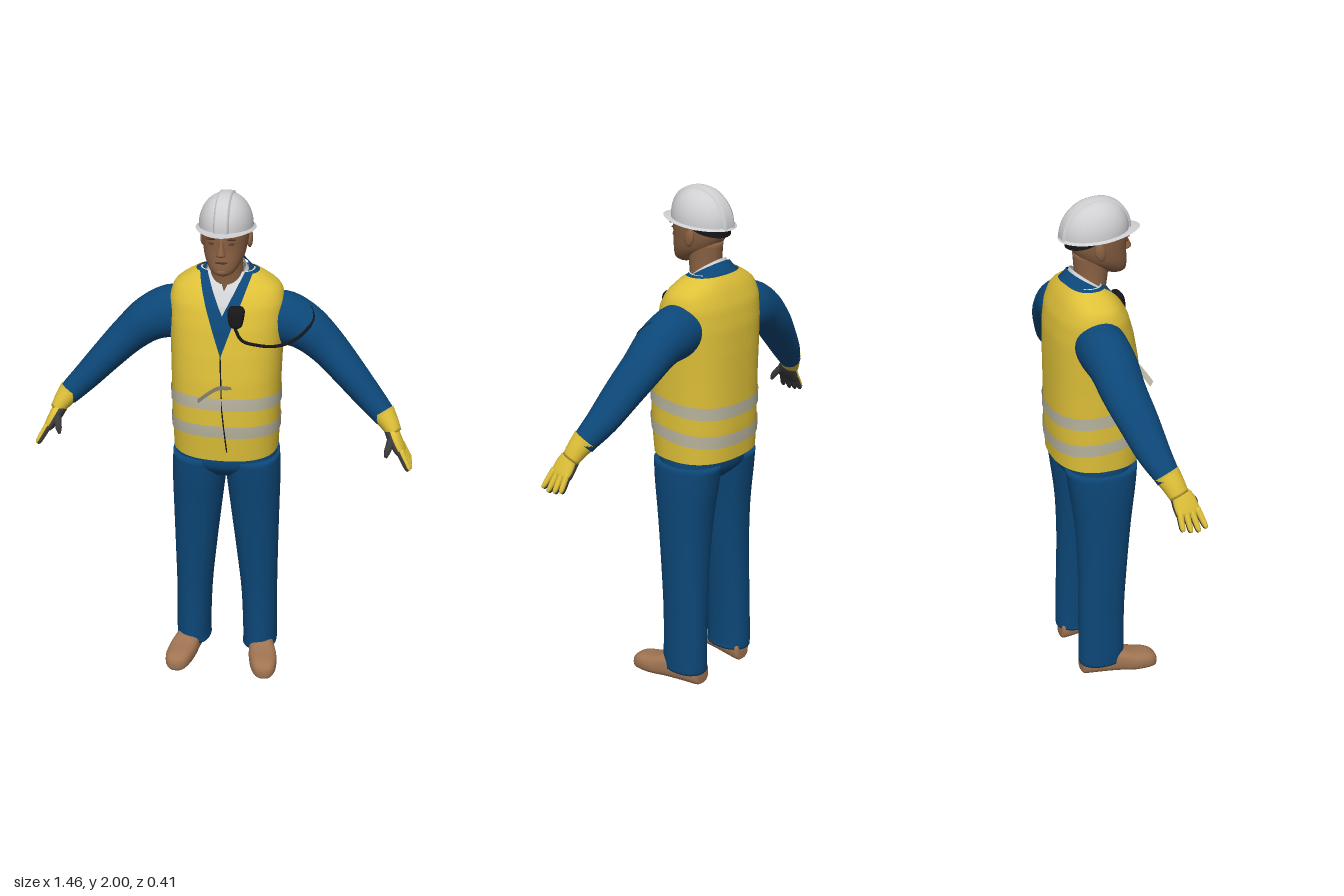
import * as THREE from 'three';

const mat = (name, color, side = THREE.FrontSide) => {
  const m = new THREE.MeshStandardMaterial({ color, side });
  m.name = name;
  return m;
};
const V = (x, y, z) => new THREE.Vector3(x, y, z);
const spow = (v, n) => Math.sign(v) * Math.pow(Math.abs(v), 2 / n);

// Smooth surface through a rule fn(u, v); u runs round, v runs along
function sheet(fn, nu, nv, closed = false, caps = null) {
  const pos = [], idx = [], cols = closed ? nu : nu + 1;
  for (let j = 0; j <= nv; j++)
    for (let i = 0; i < cols; i++) pos.push(...fn(i / nu, j / nv).toArray());
  for (let j = 0; j < nv; j++)
    for (let i = 0; i < nu; i++) {
      const a = j * cols + i, b = j * cols + (i + 1) % cols;
      idx.push(a, b, b + cols, a, b + cols, a + cols);
    }
  if (caps) {
    const s = pos.length / 3, last = nv * cols;
    pos.push(...caps[0].toArray(), ...caps[1].toArray());
    for (let i = 0; i < nu; i++) {
      const k = (i + 1) % cols;
      idx.push(s, k, i, s + 1, last + i, last + k);
    }
  }
  const g = new THREE.BufferGeometry();
  g.setAttribute('position', new THREE.Float32BufferAttribute(pos, 3));
  g.setIndex(idx);
  g.computeVertexNormals();
  return g;
}

// Solid through sections [x, y, z, halfSide, halfDepth]; axis fixes the section plane
function loft(rows, side, { axis = null, n = 2, seg = 24, sub = 4 } = {}) {
  const c = new THREE.CatmullRomCurve3(rows.map(r => V(r[0], r[1], r[2])), false, 'catmullrom');
  const s = new THREE.CatmullRomCurve3(rows.map(r => V(r[3], r[4], 0)), false, 'catmullrom');
  return sheet((u, v) => {
    const t = axis ? axis.clone() : c.getPoint(Math.min(1, v + 0.02)).sub(c.getPoint(Math.max(0, v - 0.02))).normalize();
    const a = side.clone().addScaledVector(t, -side.dot(t)).normalize();
    const b = t.clone().cross(a), r = s.getPoint(v), q = u * Math.PI * 2;
    return c.getPoint(v).addScaledVector(a, r.x * spow(Math.cos(q), n)).addScaledVector(b, r.y * spow(Math.sin(q), n));
  }, seg, (rows.length - 1) * sub, true, [c.getPoint(0), c.getPoint(1)]);
}

// Torso outline: [height, half width, front z, back z]
const TORSO = [
  [0.975, 0.203, 0.148, -0.195], [1.1, 0.207, 0.16, -0.2], [1.2, 0.208, 0.158, -0.2], [1.3, 0.21, 0.15, -0.2],
  [1.4, 0.213, 0.135, -0.2], [1.5, 0.217, 0.115, -0.197], [1.58, 0.218, 0.09, -0.185],
  [1.63, 0.203, 0.06, -0.165], [1.66, 0.165, 0.035, -0.15], [1.69, 0.11, 0.01, -0.125]];
function torsoPoint(q, y, off, tilt = 0) {
  let k = 0;
  while (k < TORSO.length - 2 && y > TORSO[k + 1][0]) k++;
  const A = TORSO[k], B = TORSO[k + 1], f = (y - A[0]) / (B[0] - A[0]);
  const [w, zf, zb] = [1, 2, 3].map(i => A[i] + (B[i] - A[i]) * f);
  const z = (zf + zb) / 2 + ((zf - zb) / 2 + off) * spow(Math.cos(q), 2.4);
  return V((w + off) * spow(Math.sin(q), 2.4), y + tilt * z, z);
}
// Garment layer with a V opening from (0, vy) to half width vw at the collar
function garment(y0, y1, off, vy, vw, tilt = 0, rows = 44) {
  return sheet((u, v) => {
    const y = y0 + (y1 - y0) * v;
    const w = Math.max(0, (y - vy) / (1.69 - vy)) * vw;
    const full = torsoPoint(Math.PI / 2, y, off).x;
    const o = Math.asin(Math.min(1, Math.pow(w / full, 1.2)));
    return torsoPoint(o + u * (2 * Math.PI - 2 * o), y, off, tilt);
  }, 64, rows);
}

export function createModel() {
  const root = new THREE.Group();
  root.name = 'worker';
  const D = THREE.DoubleSide;
  const yellow = mat('safety yellow', 0xdec038, D), blue = mat('work blue', 0x0c4778, D);
  const skin = mat('skin', 0x8a6143), dark = mat('dark skin', 0x5a3a28);
  const boot = mat('boot brown', 0x9f7452), shell = mat('helmet grey', 0xcfcfd2, D);
  const tape = mat('reflective tape', 0xb9b49e, D), grip = mat('glove grey', 0x3b3a3c);
  const black = mat('black', 0x17171a, D), white = mat('shirt white', 0xd2d3d6, D);
  const add = (name, geo, m, parent = root) => {
    const o = new THREE.Mesh(geo, m);
    o.name = name;
    parent.add(o);
    return o;
  };
  const X = V(1, 0, 0), Y = V(0, 1, 0), Z = V(0, 0, 1);
  const ball = (name, m, x, y, z, a, b, c) => {
    const o = add(name, new THREE.SphereGeometry(1, 16, 12), m);
    o.position.set(x, y, z);
    o.scale.set(a, b, c);
    return o;
  };
  const tube = (name, pts, r, m) => add(name, new THREE.TubeGeometry(
    new THREE.CatmullRomCurve3(pts.map(p => V(...p))), 40, r, 6), m);

  // Clothing layers on the torso
  add('vest', garment(0.975, 1.685, 0, 1.4, 0.1), yellow);
  add('jacket', garment(1.3, 1.69, -0.007, 1.55, 0.07), blue);
  add('shirt', garment(1.45, 1.69, -0.014, 1.63, 0.03), white);
  for (const y of [1.06, 1.175]) add('reflectiveBand', garment(y, y + 0.05, 0.004, 9, 0, 0.12, 3), tape);
  const collar = (name, m, r0, r1, gap, h) => add(name, sheet((u, v) => {
    const q = gap + u * (2 * Math.PI - 2 * gap), r = r0 + (r1 - r0) * v;
    return V(r * Math.sin(q), 1.655 + h * v - 0.045 * Math.cos(q), -0.04 + r * 0.95 * Math.cos(q));
  }, 40, 4), m);
  collar('jacketCollar', blue, 0.112, 0.08, 0.55, 0.035);
  collar('shirtCollar', white, 0.088, 0.068, 0.35, 0.042);

  // Front closure and loose strap
  tube('vestSeam', [[0, 1.4, 0.136], [0.005, 1.3, 0.151], [0.01, 1.2, 0.161], [0.02, 1.1, 0.162], [0.028, 1.02, 0.155]], 0.0025, black);
  const strap = new THREE.CatmullRomCurve3([V(0.045, 1.285, 0.152), V(0, 1.29, 0.165), V(-0.04, 1.27, 0.18), V(-0.075, 1.245, 0.195)]);
  add('strap', sheet((u, v) => strap.getPoint(v).add(V(0, (u - 0.5) * 0.022, (u - 0.5) * 0.012)), 1, 12), tape);

  // Radio microphone, cord and shoulder clip
  add('microphone', loft([[0.055, 1.518, 0.112, 0.014, 0.014], [0.055, 1.53, 0.112, 0.025, 0.02],
    [0.055, 1.575, 0.104, 0.032, 0.02], [0.055, 1.592, 0.098, 0.024, 0.014]], X, { axis: Y, n: 3 }), black);
  tube('cord', [[0.05, 1.52, 0.115], [0.08, 1.475, 0.13], [0.14, 1.457, 0.125], [0.2, 1.447, 0.1], [0.25, 1.45, 0.062],
    [0.3, 1.485, 0.045], [0.33, 1.525, 0.0], [0.315, 1.555, -0.04]], 0.006, black);
  const clip = add('shoulderClip', new THREE.BoxGeometry(0.065, 0.014, 0.022), black);
  clip.position.set(0.295, 1.558, -0.06);
  clip.rotation.z = -0.5;

  // Hips
  add('hips', loft([[0, 0.87, -0.02, 0.1, 0.09], [0, 0.92, -0.023, 0.19, 0.137], [0, 0.98, -0.024, 0.198, 0.146],
    [0, 1.05, -0.022, 0.195, 0.15]], X, { axis: Y, n: 2.3, seg: 40 }), blue);

  for (const s of [1, -1]) {
    const side = new THREE.Group();
    side.name = s > 0 ? 'leftLimbs' : 'rightLimbs';
    root.add(side);
    const limb = (name, rows, dir, m, opt) => add(name, loft(rows.map(r => [r[0] * s, ...r.slice(1)]), dir, opt), m, side);

    // Trouser leg and boot
    limb('trouserLeg', [[0.138, 0.055, -0.037, 0.07, 0.094], [0.139, 0.1, -0.037, 0.069, 0.095], [0.134, 0.3, -0.035, 0.072, 0.094],
      [0.125, 0.5, -0.027, 0.083, 0.099], [0.115, 0.7, -0.022, 0.096, 0.112], [0.107, 0.86, -0.022, 0.106, 0.132],
      [0.103, 0.95, -0.024, 0.105, 0.143]], X, blue, { axis: Y, n: 2.2, seg: 32 });
    limb('boot', [[0.128, 0.035, -0.122, 0.028, 0.03], [0.13, 0.045, -0.11, 0.042, 0.045], [0.14, 0.053, -0.05, 0.048, 0.053],
      [0.153, 0.053, 0.02, 0.052, 0.053], [0.168, 0.042, 0.09, 0.058, 0.042], [0.177, 0.037, 0.15, 0.05, 0.037],
      [0.18, 0.03, 0.178, 0.034, 0.028], [0.181, 0.026, 0.188, 0.014, 0.014]], X, boot, { axis: Z, n: 2.7 });

    // Sleeve
    limb('sleeve', [[0.15, 1.505, -0.06, 0.09, 0.095], [0.22, 1.497, -0.06, 0.094, 0.102], [0.3, 1.465, -0.052, 0.09, 0.088],
      [0.38, 1.4, -0.043, 0.083, 0.073], [0.46, 1.32, -0.02, 0.075, 0.063], [0.54, 1.235, 0.004, 0.063, 0.054],
      [0.6, 1.175, 0.028, 0.049, 0.046], [0.618, 1.155, 0.035, 0.045, 0.042]], Z, blue, { seg: 32 });

    // Glove: yellow back, grey palm
    limb('gloveCuff', [[0.605, 1.175, 0.03, 0.049, 0.046], [0.632, 1.14, 0.046, 0.043, 0.037], [0.655, 1.105, 0.06, 0.037, 0.028]], Z, yellow);
    const palm = [[0.645, 1.12, 0.055, 0.03, 0.022], [0.662, 1.09, 0.073, 0.043, 0.021], [0.684, 1.052, 0.083, 0.045, 0.016], [0.69, 1.04, 0.085, 0.036, 0.01]];
    limb('gloveBack', palm, Z, yellow);
    limb('glovePalm', palm.map(r => [r[0] - 0.008, r[1] - 0.006, r[2], r[3] + 0.002, r[4]]), Z, grip);
    for (let k = -1.5; k < 2; k++) {
      const len = 1 - 0.09 * Math.abs(k - 0.2);
      const finger = [0, 0.4, 0.85, 1].map((f, i) => [0.683 + 0.045 * f * len, 1.06 - 0.078 * f * len,
        0.083 + k * (0.022 + 0.008 * f) + 0.012 * f, [0.0125, 0.0115, 0.0095, 0.004][i], [0.012, 0.011, 0.009, 0.004][i]]);
      limb('fingerBack', finger, Z, yellow, { seg: 10, sub: 3 });
      limb('fingerGrip', finger.map(r => [r[0] - 0.006, r[1] - 0.004, r[2], r[3] + 0.001, r[4]]), Z, grip, { seg: 10, sub: 3 });
    }
    limb('thumb', [[0.648, 1.105, 0.085, 0.016, 0.017], [0.641, 1.08, 0.112, 0.014, 0.014], [0.634, 1.055, 0.13, 0.012, 0.012],
      [0.63, 1.036, 0.138, 0.005, 0.005]], X, grip, { seg: 12 });

    // Ear, eye and brow
    ball('ear', skin, s * 0.087, 1.82, -0.02, 0.011, 0.034, 0.02).rotation.x = -0.2;
    ball('eye', dark, s * 0.034, 1.836, 0.099, 0.014, 0.005, 0.006);
    ball('brow', dark, s * 0.035, 1.855, 0.103, 0.02, 0.005, 0.006);
  }

  // Neck, head and face
  add('neck', loft([[0, 1.58, -0.04, 0.075, 0.065], [0, 1.66, -0.03, 0.064, 0.06], [0, 1.72, -0.025, 0.06, 0.064], [0, 1.8, -0.025, 0.062, 0.07]], X, { axis: Y }), skin);
  add('head', loft([[0, 1.708, 0.07, 0.022, 0.022], [0, 1.718, 0.064, 0.04, 0.042], [0, 1.738, 0.046, 0.057, 0.064], [0, 1.77, 0.02, 0.073, 0.089],
    [0, 1.81, 0.004, 0.082, 0.103], [0, 1.85, 0, 0.087, 0.109], [0, 1.89, -0.002, 0.088, 0.11], [0, 1.93, -0.005, 0.078, 0.095]],
  X, { axis: Y, n: 2.15, seg: 36 }), skin);
  add('nose', loft([[0, 1.787, 0.106, 0.01, 0.008], [0, 1.795, 0.111, 0.018, 0.02], [0, 1.808, 0.108, 0.014, 0.022],
    [0, 1.835, 0.103, 0.009, 0.014], [0, 1.855, 0.1, 0.009, 0.01]], X, { axis: Y, seg: 14 }), skin);
  ball('lips', dark, 0, 1.765, 0.105, 0.024, 0.006, 0.006);
  ball('chin', skin, 0, 1.728, 0.092, 0.026, 0.018, 0.02);

  // Hard hat: dome, crown ridge, brim, lining and rear headband
  const base = z => 1.872 + 0.08 * z;
  const dome = (q, p, off = 0) => {
    const r = Math.pow(Math.cos(p), 0.9), z = -0.01 + (0.127 + off) * Math.cos(q) * r;
    return V((0.1 + off) * Math.sin(q) * r, base(z) + (0.122 + off) * Math.sin(p), z);
  };
  add('helmetDome', sheet((u, v) => dome(u * Math.PI * 2, v * Math.PI / 2), 40, 14, true), shell);
  add('helmetRidge', sheet((u, v) => {
    const p = v * Math.PI, e = Math.abs(u - 0.5) * 2, off = e > 0.9 ? -0.006 : 0.006;
    const c = dome(0, p < Math.PI / 2 ? p : Math.PI - p, off), z = p < Math.PI / 2 ? c.z : -0.02 - c.z;
    return V((u - 0.5) * 0.058, c.y - 0.08 * (c.z - z) - 0.004 * e * e, z);
  }, 12, 32), shell);
  const brim = (q, v, drop) => {
    const c = Math.cos(q), z = -0.01 + c * (0.126 + v * (c > 0 ? 0.012 + 0.036 * c * c : 0.012));
    return V(Math.sin(q) * (0.099 + 0.012 * v), base(z) - 0.007 * v - drop, z);
  };
  add('helmetBrim', sheet((u, v) => brim(u * Math.PI * 2, 1 - v, 0), 48, 3, true), shell);
  add('helmetLining', sheet((u, v) => {
    const q = u * Math.PI * 2;
    return brim(q, 0.6 - v * 0.6, 0.004).lerp(V(0.08 * Math.sin(q), 1.87, 0.09 * Math.cos(q)), v);
  }, 40, 3, true), black);
  add('headband', sheet((u, v) => {
    const q = Math.PI * (0.58 + 0.84 * u);
    const low = 0.045 * Math.pow(Math.sin(u * Math.PI), 0.5);
    return V(0.097 * Math.sin(q), 1.868 - low * (1 - v), -0.004 + 0.119 * Math.cos(q));
  }, 24, 3), black);

  return root;
}
